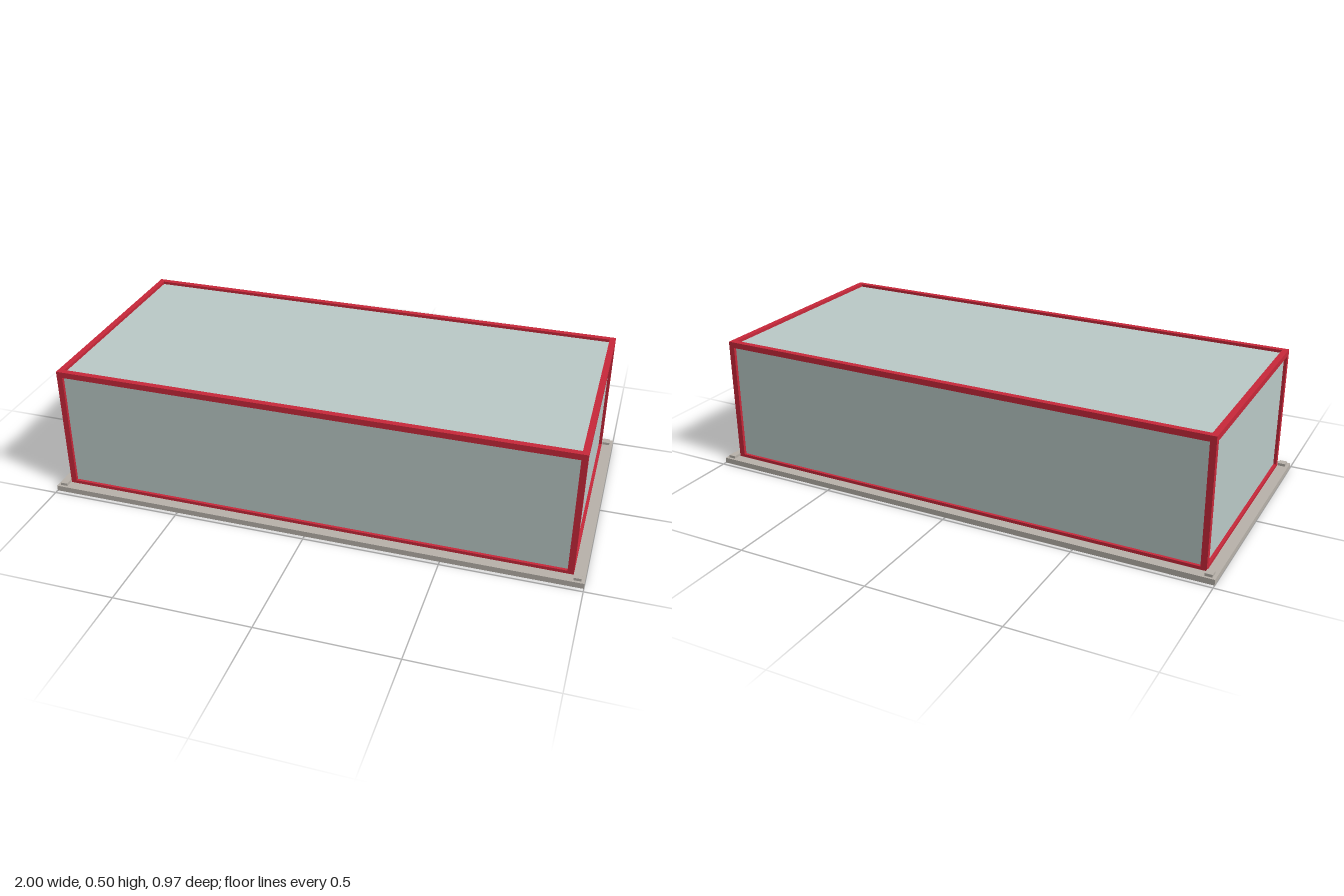
import * as THREE from 'three';

const material = (name, color) => {
  const m = new THREE.MeshStandardMaterial({ color });
  m.name = name;
  return m;
};

export function createModel() {
  const model = new THREE.Group();
  model.name = 'framedCase';
  const stone = material('warm grey', 0xb8b2aa);
  const red = material('frame red', 0xc8283a);
  const glass = material('pale glass', 0xbac9c7);

  const box = (name, mat, size, pos) => {
    const mesh = new THREE.Mesh(new THREE.BoxGeometry(...size), mat);
    mesh.name = name;
    mesh.position.set(...pos);
    model.add(mesh);
  };

  // Outer half sizes and heights of the framed case
  const X = 0.959, Z = 0.444, BOTTOM = 0.011, TOP = 0.501, BAR = 0.022;
  const cx = X - BAR / 2, cz = Z - BAR / 2;
  const yLow = BOTTOM + BAR / 2, yHigh = TOP - BAR / 2, yMid = (BOTTOM + TOP) / 2;

  // Base slab
  box('base', stone, [2, 0.021, 0.968], [0, 0.0105, 0]);

  // Glass body, set back to the middle of the bars
  box('glassBody', glass, [2 * cx, yHigh - 0.02, 2 * cz], [0, (yHigh + 0.02) / 2, 0]);

  for (const sx of [-1, 1]) {
    for (const sz of [-1, 1]) {
      // Corner pads on the base and upright posts
      box('cornerPad', stone, [0.027, 0.012, 0.03], [sx * 0.975, 0.025, sz * 0.459]);
      box('cornerPost', red, [BAR, TOP - BOTTOM, BAR], [sx * cx, yMid, sz * cz]);
    }
  }

  // Top and bottom rails between the posts
  for (const y of [yLow, yHigh]) {
    for (const s of [-1, 1]) {
      box('longRail', red, [2 * (X - BAR), BAR, BAR], [0, y, s * cz]);
      box('shortRail', red, [BAR, BAR, 2 * (Z - BAR)], [s * cx, y, 0]);
    }
  }
  return model;
}
